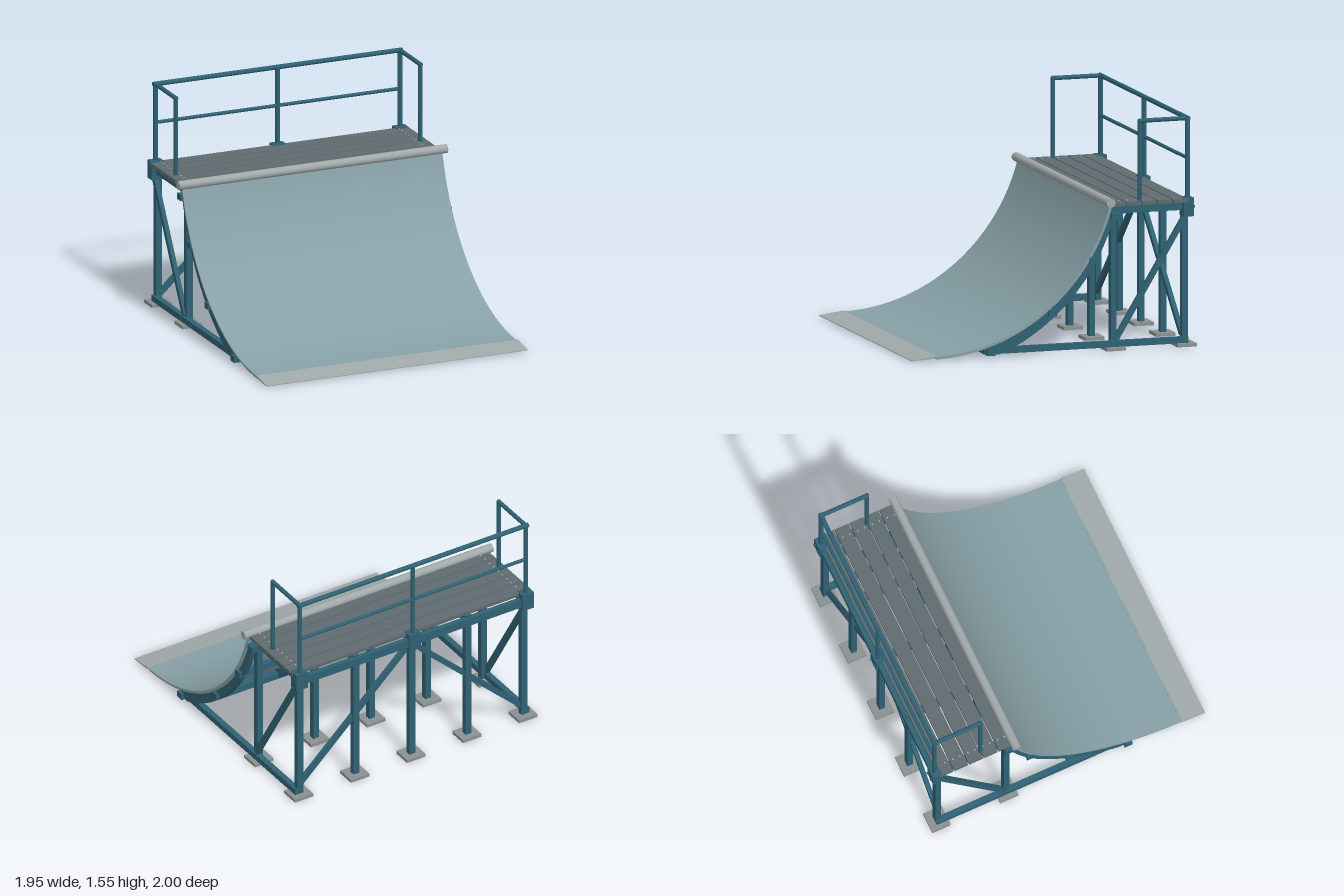
import * as THREE from 'three';
import { toCreasedNormals } from 'three/addons/utils/BufferGeometryUtils.js';

const mat = (color, extra = {}) => new THREE.MeshStandardMaterial({ color, ...extra });

export function createModel() {
  const model = new THREE.Group();
  const teal = mat(0x2f6173), sheetMat = mat(0x86a0a6), plankMat = mat(0x5f6b6f);
  const metal = mat(0xa0a8aa), padMat = mat(0x8a9090);

  const add = (name, geo, material, x = 0, y = 0, z = 0) => {
    const m = new THREE.Mesh(geo, material);
    m.name = name;
    m.position.set(x, y, z);
    model.add(m);
    return m;
  };
  const box = (name, w, h, d, x, y, z, material = teal) =>
    add(name, new THREE.BoxGeometry(w, h, d), material, x, y, z);
  // square timber between two points
  const strut = (name, a, b, w, h) => {
    const A = new THREE.Vector3(...a), B = new THREE.Vector3(...b);
    const m = add(name, new THREE.BoxGeometry(w, h, A.distanceTo(B)), teal);
    m.position.copy(A).lerp(B, 0.5);
    m.lookAt(B);
    return m;
  };
  // round tube between two points
  const tube = (name, a, b, r, material = teal, sides = 16) => {
    const A = new THREE.Vector3(...a), B = new THREE.Vector3(...b);
    const m = add(name, new THREE.CylinderGeometry(r, r, A.distanceTo(B), sides), material);
    m.position.copy(A).lerp(B, 0.5);
    m.quaternion.setFromUnitVectors(new THREE.Vector3(0, 1, 0), B.sub(A).normalize());
    return m;
  };
  // side profile of [z, y] points extruded across x
  const profile = (name, pts, width, x, material) => {
    const shape = new THREE.Shape(pts.map(p => new THREE.Vector2(...p)));
    let geo = new THREE.ExtrudeGeometry(shape, { depth: width, bevelEnabled: false });
    geo.translate(0, 0, -width / 2).rotateY(-Math.PI / 2);
    geo = toCreasedNormals(geo, 0.5);
    return add(name, geo, material, x);
  };

  // circular transition: t is the angle from straight down towards the coping
  const R = 1.284, CZ = 0.85, CY = 1.314, TOP = 1.31;
  const arc = (t, r) => [CZ - r * Math.sin(t), CY - r * Math.cos(t)];
  const band = (t0, t1, inner, outer, n = 48) => {
    const a = [], b = [];
    for (let i = 0; i <= n; i++) {
      const k = i / n, t = t0 + (t1 - t0) * k;
      a.push(arc(t, R + inner(k)));
      b.unshift(arc(t, R + outer(k)));
    }
    return [...a, ...b];
  };

  // riding surface in two layers, and the toe plate
  profile('ridingSurface', band(0, TOP, () => 0, () => 0.01), 1.89, 0, sheetMat);
  profile('surfaceBacking', band(0.02, TOP, () => 0.0105, () => 0.02), 1.88, 0, sheetMat);
  profile('toePlate', [[0.83, 0.036], [0.83, 0.026], [0.86, 0.018], [1, 0.009], [1, 0.014]], 1.9, 0, metal);
  for (const x of [-0.86, -0.43, 0, 0.43, 0.86])
    add('toeScrew', new THREE.CylinderGeometry(0.006, 0.006, 0.004, 10), metal, x, 0.026, 0.91);

  // coping tube
  tube('coping', [-0.975, 1, -0.39], [0.975, 1, -0.39], 0.03, metal, 32);

  // curved ribs, posts, joists and foot pads on five lines
  for (const x of [-0.88, -0.44, 0, 0.44, 0.88]) {
    const rx = Math.abs(x) > 0.8 ? Math.sign(x) * 0.91 : x;
    const rib = band(0.29, 1.27, () => 0.02, k => 0.1 - 0.045 * k, 32)
      .map(([z, y]) => [z, Math.max(y, 0.02)]);
    profile('curvedRib', rib, 0.04, rx, teal);
    for (const [z, pad] of [[-0.432, -0.435], [-0.932, -0.932]]) {
      box('post', 0.045, 0.9, 0.04, x, 0.47, z);
      box('footPad', 0.145, 0.022, 0.135, x, 0.011, pad, padMat);
    }
    box('deckJoist', 0.045, 0.055, 0.55, x, 0.943, -0.685);
  }

  // cross rails behind the ribs, reaching just past both sides
  for (const [z, y] of [[0.44, 0.037], [0.01, 0.278], [-0.275, 0.617], [-0.432, 0.905]])
    box('crossRail', 1.9, 0.044, 0.055, 0, y, z);
  box('rearBeam', 1.86, 0.06, 0.035, 0, 0.93, -0.955);

  for (const s of [-1, 1]) {
    // side frame: sill beam and diagonal
    box('sillBeam', 0.04, 0.042, 1.43, s * 0.9, 0.042, -0.235);
    strut('sideBrace', [s * 0.9, 0.07, -0.445], [s * 0.9, 0.88, -0.935], 0.03, 0.036);
    // rear diagonal from the outer foot to the top of the middle post
    strut('rearBrace', [s * 0.87, 0.08, -0.92], [s * 0.03, 0.87, -0.92], 0.03, 0.036);
    // side guard rail
    const x = s * 0.888;
    tube('sideRailPost', [x, 0.95, -0.62], [x, 1.53, -0.62], 0.015);
    tube('sideTopRail', [x, 1.53, -0.62], [x, 1.53, -0.955], 0.015);
    for (const z of [-0.62, -0.955])
      add('railCorner', new THREE.SphereGeometry(0.0165, 16, 12), teal, x, 1.53, z);
  }

  // deck planks with screws
  for (let i = 0; i < 5; i++) {
    const z = -0.455 - i * 0.109;
    box('deckPlank', 1.875, 0.025, 0.1, 0, 0.983, z, plankMat);
    for (const x of [-0.865, 0.865]) for (const dz of [-0.025, 0.025])
      add('deckScrew', new THREE.CylinderGeometry(0.006, 0.006, 0.004, 10), metal, x, 0.9965, z + dz);
  }

  // rear guard rail with clamp blocks
  for (const x of [-0.888, 0, 0.888]) {
    tube('rearRailPost', [x, 0.88, -0.955], [x, 1.53, -0.955], 0.016);
    box('postClamp', 0.09, 0.125, 0.07, x, 0.937, -0.95);
    for (const dx of [-0.025, 0.025])
      tube('clampBolt', [x + dx, 0.937, -0.98], [x + dx, 0.937, -0.997], 0.009, teal, 6);
  }
  tube('rearTopRail', [-0.905, 1.53, -0.955], [0.905, 1.53, -0.955], 0.016);
  tube('rearMidRail', [-0.888, 1.262, -0.955], [0.888, 1.262, -0.955], 0.012);

  return model;
}
